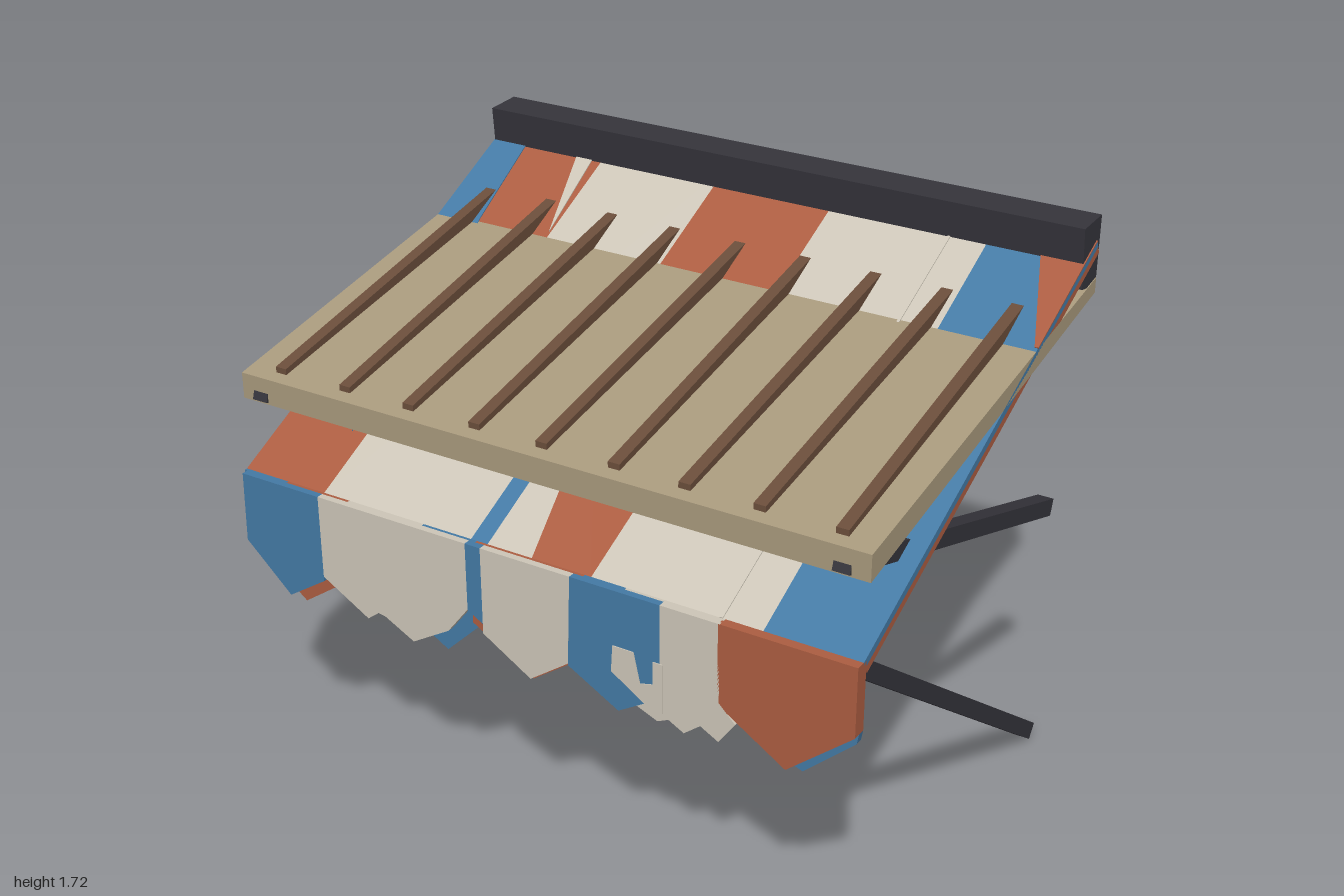
import * as THREE from 'three';

const mat = (name, color) => {
  const m = new THREE.MeshStandardMaterial({ color });
  m.name = name;
  return m;
};

export function createModel() {
  const root = new THREE.Group();
  root.name = 'marketAwning';
  const blue = mat('blue cloth', 0x447aa5), rust = mat('rust cloth', 0xac5d41), cream = mat('cream cloth', 0xcdc6b8);
  const tan = mat('tan board', 0xa99a7d), brown = mat('brown batten', 0x6b4e3b), iron = mat('dark iron', 0x35343b);

  const add = (parent, name, geo, material) => {
    const mesh = new THREE.Mesh(geo, material);
    mesh.name = name;
    parent.add(mesh);
    return mesh;
  };
  // Flat outline in x, y given a thickness from z0 to z1
  const plate = (parent, name, material, pts, z0, z1) => {
    const shape = new THREE.Shape(pts.map(([x, y]) => new THREE.Vector2(x, y)));
    const geo = new THREE.ExtrudeGeometry(shape, { depth: z1 - z0, bevelEnabled: false });
    return add(parent, name, geo.translate(0, 0, z0), material);
  };
  // Side profile in z, y swept across x
  const sweep = (name, material, pts, width, x = 0) => {
    const shape = new THREE.Shape(pts.map(([z, y]) => new THREE.Vector2(z, y)));
    const geo = new THREE.ExtrudeGeometry(shape, { depth: width, bevelEnabled: false });
    geo.translate(0, 0, -width / 2).rotateY(-Math.PI / 2).translate(x, 0, 0);
    return add(root, name, geo, material);
  };

  // Wall beam and tapered board roof
  sweep('wallBeam', iron, [[-0.582, 1.715], [-0.7, 1.72], [-0.7, 1.51], [-0.6, 1.53]], 1.985);
  sweep('boardRoof', tan, [[0.645, 1.205], [0.645, 1.283], [-0.695, 1.535], [-0.695, 1.49]], 1.99);

  // Battens across the board roof, each leaning slightly
  for (let i = 0; i < 9; i++) {
    const batten = sweep('batten', brown, [[0.605, 1.27], [0.605, 1.308], [-0.5, 1.54], [-0.5, 1.49]], 0.036, 0);
    batten.position.x = (i - 4) * 0.221;
    batten.rotation.y = [0, 0.01, 0.006, 0.006, 0, 0.01, -0.003, -0.006, 0.014][i];
  }

  // Support struts, a long low one and a shorter high one on each side
  const strut = (name, x, [z0, y0], [z1, y1]) => {
    const len = Math.hypot(z1 - z0, y1 - y0);
    const mesh = add(root, name, new THREE.BoxGeometry(0.05, 0.052, len), iron);
    mesh.position.set(x, (y0 + y1) / 2, (z0 + z1) / 2);
    mesh.rotation.x = -Math.atan2(y1 - y0, z1 - z0);
  };
  for (const x of [-0.93, 0.916]) {
    strut('lowerStrut', x, [-0.655, 0.022], [0.585, 0.918]);
    strut('upperStrut', x, [-0.655, 0.81], [0.645, 1.238]);
  }

  // Sloping cloth: local y runs up the slope, local z is the outward normal
  const cloth = new THREE.Group();
  cloth.name = 'clothCanopy';
  cloth.position.set(0, 0.987, 0.662);
  cloth.rotation.x = Math.atan(0.494) - Math.PI / 2;
  root.add(cloth);
  const L = 1.495;
  const upper = [
    [rust, [[-0.995, 0], [-0.71, 0], [-0.71, 0.5], [-0.595, 0.8], [-0.595, L], [-0.995, L]]],
    [cream, [[-0.71, 0], [-0.2, 0], [-0.19, L], [-0.595, L], [-0.595, 0.8], [-0.71, 0.5]]],
    [blue, [[-0.2, 0], [-0.145, 0], [-0.145, 0.6], [-0.195, 0.8]]],
    [cream, [[-0.145, 0], [0, 0], [-0.1, 0.485], [-0.145, 0.6]]],
    [rust, [[0, 0], [0.19, 0], [0.2, L], [-0.19, L], [-0.195, 0.8], [-0.145, 0.6], [-0.1, 0.485]]],
    [cream, [[0.19, 0], [0.71, 0], [0.7, L], [0.2, L]]],
    [blue, [[0.71, 0], [0.995, 0], [0.995, L], [0.7, L]]],
  ];
  upper.forEach(([m, pts]) => plate(cloth, 'upperStripe', m, pts, -0.022, 0));
  const patches = [
    [blue, [[-0.76, 0.22], [-0.75, 0.6], [-0.85, 1.08], [-0.885, L], [-0.995, L], [-0.995, 0.75], [-0.84, 0.48]]],
    [cream, [[-0.6, 1.09], [-0.635, L], [-0.71, L]]],
    [rust, [[0.985, 1.08], [0.996, 1.08], [0.996, L], [0.83, L]]],
    [cream, [[0.582, 0], [0.592, 0], [0.59, 1.4], [0.582, 1.4]]],
  ];
  patches.forEach(([m, pts]) => plate(cloth, 'clothPatch', m, pts, -0.001, 0.003));

  // Underside stripes, listed by their x limits
  const under = [[blue, -0.995, -0.81], [rust, -0.81, -0.68], [cream, -0.68, -0.5], [blue, -0.5, -0.21],
    [rust, -0.21, 0.16], [blue, 0.16, 0.21], [rust, 0.21, 0.26], [cream, 0.26, 0.67], [rust, 0.67, 0.995]];
  under.forEach(([m, a, b]) => plate(cloth, 'underStripe', m, [[a, 0], [b, 0], [b, L], [a, L]], -0.044, -0.022));
  plate(cloth, 'underPatch', cream, [[-0.06, 0], [0.08, 0], [-0.02, 0.5]], -0.047, -0.043);

  // Hanging valance: pointed flaps in two layers
  const valance = new THREE.Group();
  valance.name = 'valance';
  root.add(valance);
  const T = 0.987;
  const front = [
    [blue, [[-0.985, T], [-0.99, 0.77], [-0.84, 0.63], [-0.71, 0.715], [-0.71, T]]],
    [cream, [[-0.71, T], [-0.71, 0.73], [-0.555, 0.64], [-0.51, 0.675], [-0.395, 0.615], [-0.27, 0.69], [-0.2, 0.78], [-0.2, T]]],
    [blue, [[-0.2, T], [-0.2, 0.78], [-0.15, 0.75], [-0.15, T]]],
    [cream, [[-0.15, T], [-0.15, 0.72], [0.005, 0.625], [0.13, 0.715], [0.14, T]]],
    [blue, [[0.14, T], [0.13, 0.71], [0.29, 0.62], [0.42, 0.7], [0.42, T]]],
    [cream, [[0.42, T], [0.42, 0.66], [0.495, 0.62], [0.545, 0.66], [0.6, 0.63], [0.65, 0.7], [0.6, 0.75], [0.6, T]]],
    [rust, [[0.595, T], [0.595, 0.745], [0.8, 0.615], [0.995, 0.78], [0.995, T]]],
  ];
  front.forEach(([m, pts]) => plate(valance, 'frontFlap', m, pts, 0.671, 0.692));
  plate(valance, 'flapPatch', cream,
    [[0.275, 0.82], [0.27, 0.74], [0.4, 0.655], [0.43, 0.66], [0.43, 0.81], [0.4, 0.81], [0.4, 0.74], [0.36, 0.73], [0.34, 0.82]], 0.69, 0.695);
  const back = [
    [blue, [[-0.995, T], [-0.995, 0.78], [-0.86, 0.66], [-0.84, T]]],
    [rust, [[-0.84, T], [-0.9, 0.69], [-0.8, 0.613], [-0.66, 0.71], [-0.62, T]]],
    [cream, [[-0.62, T], [-0.66, 0.71], [-0.57, 0.66], [-0.4, 0.63], [-0.36, T]]],
    [blue, [[-0.36, T], [-0.38, 0.665], [-0.29, 0.613], [-0.16, 0.74], [-0.18, T]]],
    [rust, [[-0.18, T], [-0.2, 0.73], [0, 0.613], [0.15, 0.72], [0.17, T]]],
    [blue, [[0.17, T], [0.15, 0.7], [0.29, 0.613], [0.34, 0.66], [0.3, T]]],
    [cream, [[0.3, T], [0.31, 0.65], [0.4, 0.613], [0.5, 0.66], [0.6, 0.7], [0.6, T]]],
    [rust, [[0.6, T], [0.6, 0.74], [0.76, 0.64], [0.995, 0.78], [0.995, T]]],
    [blue, [[0.76, 0.64], [0.84, 0.613], [0.99, 0.75], [0.995, 0.78]]],
  ];
  back.forEach(([m, pts]) => plate(valance, 'backFlap', m, pts, 0.648, 0.671));

  return root;
}
